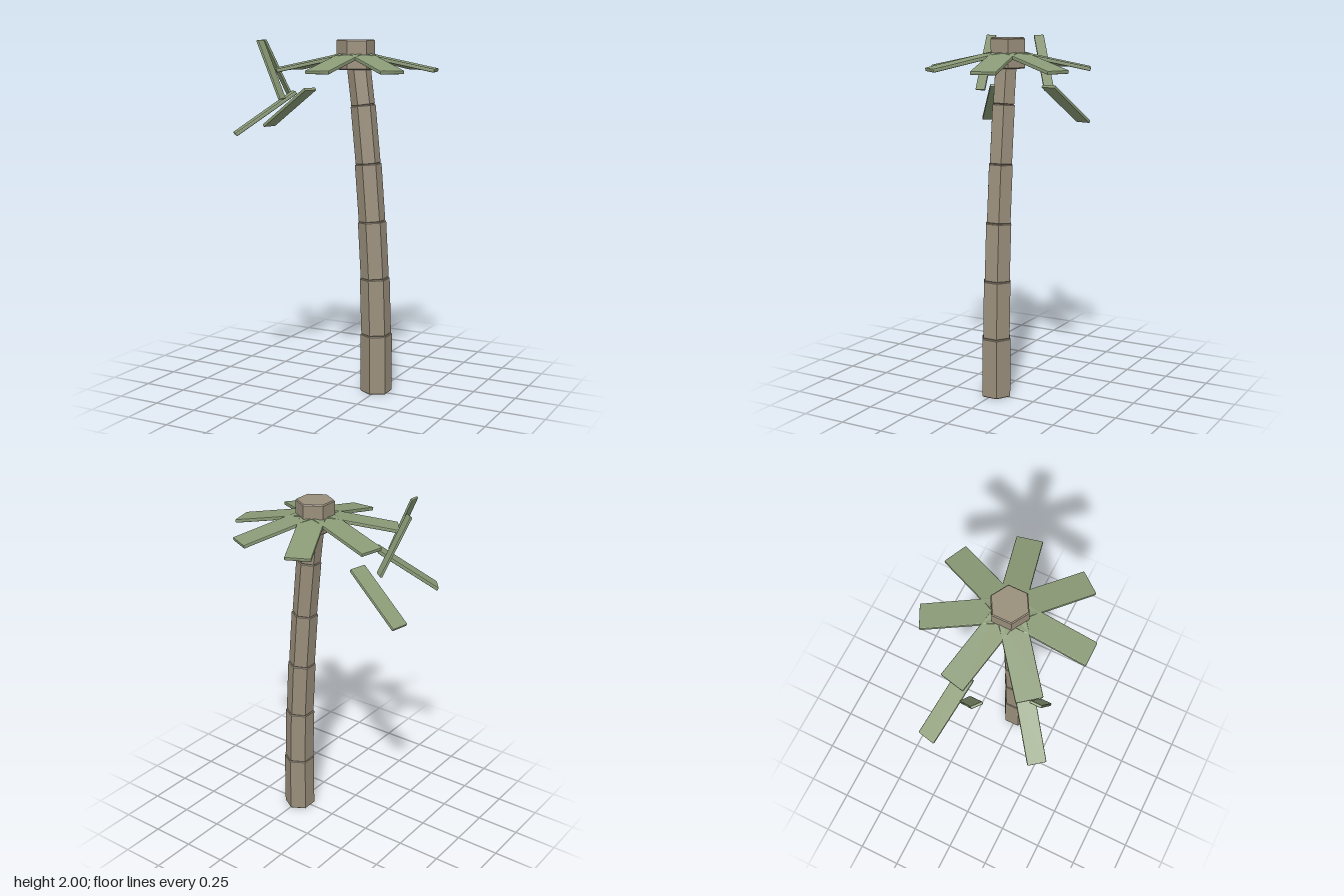
import * as THREE from 'three';
import { RoundedBoxGeometry } from 'three/addons/geometries/RoundedBoxGeometry.js';

const V = (x, y, z) => new THREE.Vector3(x, y, z);
const UP = V(0, 1, 0);

export function createModel() {
  const bark = new THREE.MeshStandardMaterial({ name: 'bark', color: 0x998e7b, flatShading: true });
  const leaf = new THREE.MeshStandardMaterial({ name: 'leafGreen', color: 0x8a9a76, flatShading: true });
  const model = new THREE.Group();
  model.name = 'palmTree';

  // Bevelled six-sided column standing between two points
  function column(name, a, b, r, bevel) {
    const h = a.distanceTo(b);
    const profile = [[0, 0], [r - bevel, 0], [r, bevel], [r, h - bevel], [r - bevel, h], [0, h]]
      .map(([x, y]) => new THREE.Vector2(x, y));
    const mesh = new THREE.Mesh(new THREE.LatheGeometry(profile, 6), bark);
    mesh.name = name;
    mesh.position.copy(a);
    mesh.quaternion.setFromUnitVectors(UP, b.clone().sub(a).normalize());
    model.add(mesh);
  }

  // Bevelled plank running between two points, its width kept level
  function plank(name, a, b, width, thick) {
    const x = b.clone().sub(a).normalize();
    const z = x.clone().cross(UP).normalize();
    const y = z.clone().cross(x);
    const geo = new RoundedBoxGeometry(a.distanceTo(b), thick, width, 1, 0.005);
    const mesh = new THREE.Mesh(geo, leaf);
    mesh.name = name;
    mesh.quaternion.setFromRotationMatrix(new THREE.Matrix4().makeBasis(x, y, z));
    mesh.position.copy(a).lerp(b, 0.5);
    model.add(mesh);
  }

  const cx = 0.105, cz = -0.01;

  // Curved trunk of six narrowing segments
  const spine = [[0.243, 0], [0.241, 0.34], [0.23, 0.665], [0.211, 0.99], [0.185, 1.315], [0.152, 1.64], [0.112, 1.95]];
  const radii = [0.09, 0.085, 0.08, 0.075, 0.07, 0.066];
  radii.forEach((r, i) => {
    const [x0, y0] = spine[i], [x1, y1] = spine[i + 1];
    column('trunkSegment' + (i + 1), V(x0, y0, cz), V(x1, y1, cz), r, 0.004);
  });

  // Crown block on top of the trunk
  column('crown', V(cx, 1.835, cz), V(cx, 2, cz), 0.107, 0.006);

  // Seven drooping fronds around the crown
  for (let i = 0; i < 7; i++) {
    const t = (i / 7) * Math.PI * 2;
    plank('frond' + (i + 1), V(cx, 1.928, cz),
      V(cx + 0.452 * Math.sin(t), 1.834, cz + 0.452 * Math.cos(t)), 0.14, 0.02);
  }

  // Loose leaf pieces on the right side: two sloping down, two rising
  plank('lowerLeafBack', V(-0.228, 1.716, -0.09), V(-0.553, 1.488, -0.163), 0.1, 0.02);
  plank('lowerLeafFront', V(-0.163, 1.716, 0.2), V(-0.425, 1.488, 0.408), 0.1, 0.02);
  plank('upperLeafBack', V(-0.336, 1.682, -0.041), V(-0.434, 1.998, 0.081), 0.063, 0.015);
  plank('upperLeafFront', V(-0.17, 1.682, 0.328), V(-0.306, 1.998, 0.328), 0.063, 0.015);

  return model;
}
